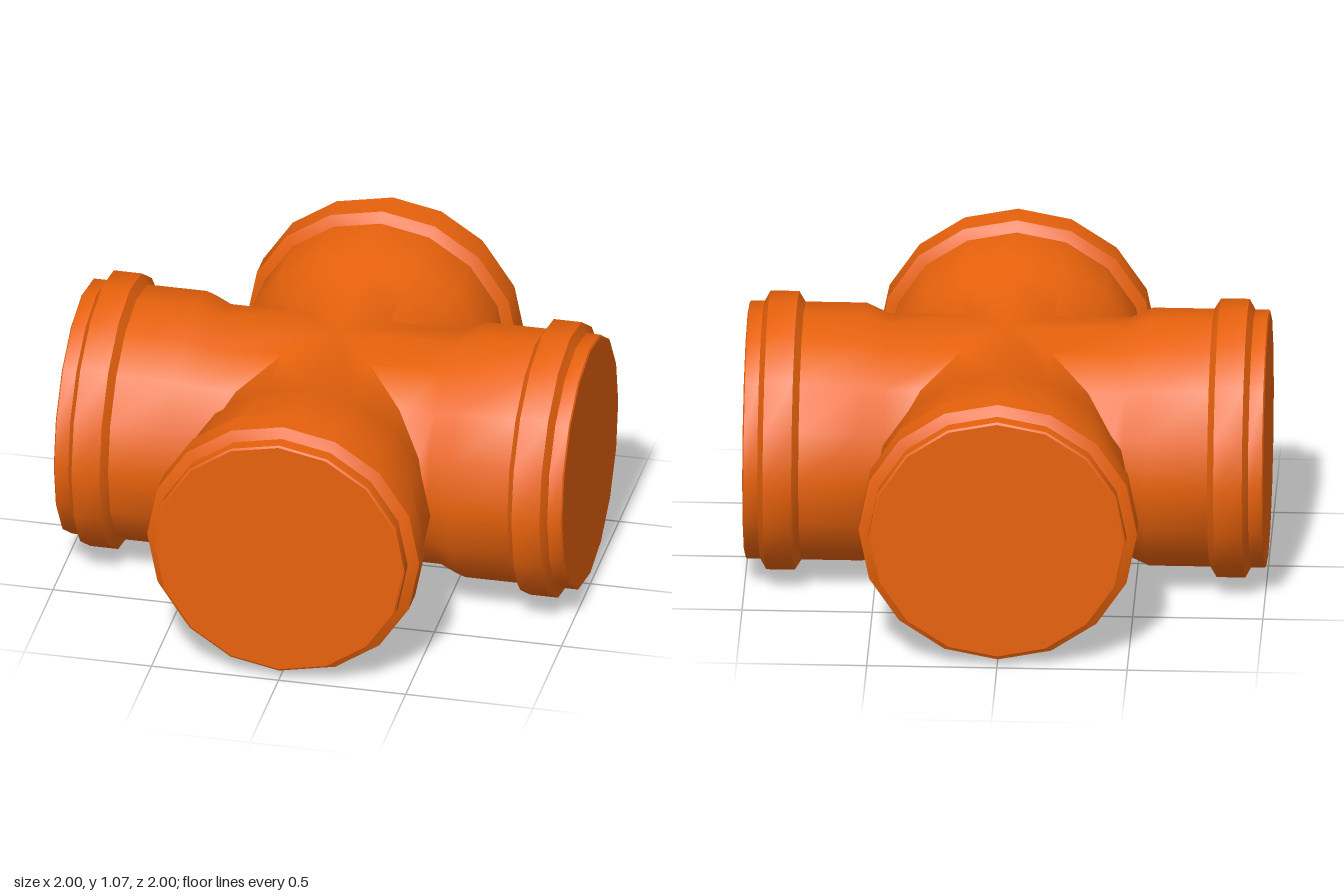
import * as THREE from 'three';
import { mergeGeometries, toCreasedNormals } from 'three/addons/utils/BufferGeometryUtils.js';

const SIDES = 16;
const CREASE = 0.7;
const AXIS_HEIGHT = 0.535;

// Revolves [radius, distance] pairs around the z axis
function revolve(profile) {
  const points = profile.map(([r, d]) => new THREE.Vector2(r, d));
  return new THREE.LatheGeometry(points, SIDES).rotateX(Math.PI / 2);
}

// One branch of the cross, its inner end cut along the diagonals
function mitredBranch() {
  const geometry = revolve([[0.455, 0], [0.455, 0.46], [0.495, 0.55], [0.495, 0.785]]);
  const p = geometry.attributes.position;
  for (let i = 0; i < p.count; i++) {
    if (p.getZ(i) < 0.01) p.setZ(i, Math.abs(p.getX(i)));
  }
  return geometry;
}

export function createModel() {
  const group = new THREE.Group();
  group.name = 'pipeCross';
  const material = new THREE.MeshStandardMaterial({ color: 0xe8620c });

  const add = (parent, name, geometry) => {
    const mesh = new THREE.Mesh(geometry, material);
    mesh.name = name;
    parent.add(mesh);
    return mesh;
  };

  // Four branches joined into one body
  const branches = [0, 1, 2, 3].map((i) => mitredBranch().rotateY((i * Math.PI) / 2));
  const body = add(group, 'crossBody', toCreasedNormals(mergeGeometries(branches), CREASE));
  body.position.y = AXIS_HEIGHT;

  // Raised sealing collar and lip at each end, closed by a flat cap
  const collar = toCreasedNormals(revolve([
    [0.495, 0.785], [0.535, 0.81], [0.535, 0.92], [0.495, 0.942], [0.495, 0.995], [0.487, 1],
  ]), CREASE);
  const cap = new THREE.CircleGeometry(0.487, SIDES).translate(0, 0, 1);

  ['front', 'left', 'back', 'right'].forEach((side, i) => {
    const socket = new THREE.Group();
    socket.name = `${side}Socket`;
    socket.position.y = AXIS_HEIGHT;
    socket.rotation.y = (i * Math.PI) / 2;
    add(socket, `${side}Collar`, collar);
    add(socket, `${side}EndCap`, cap);
    group.add(socket);
  });

  return group;
}
